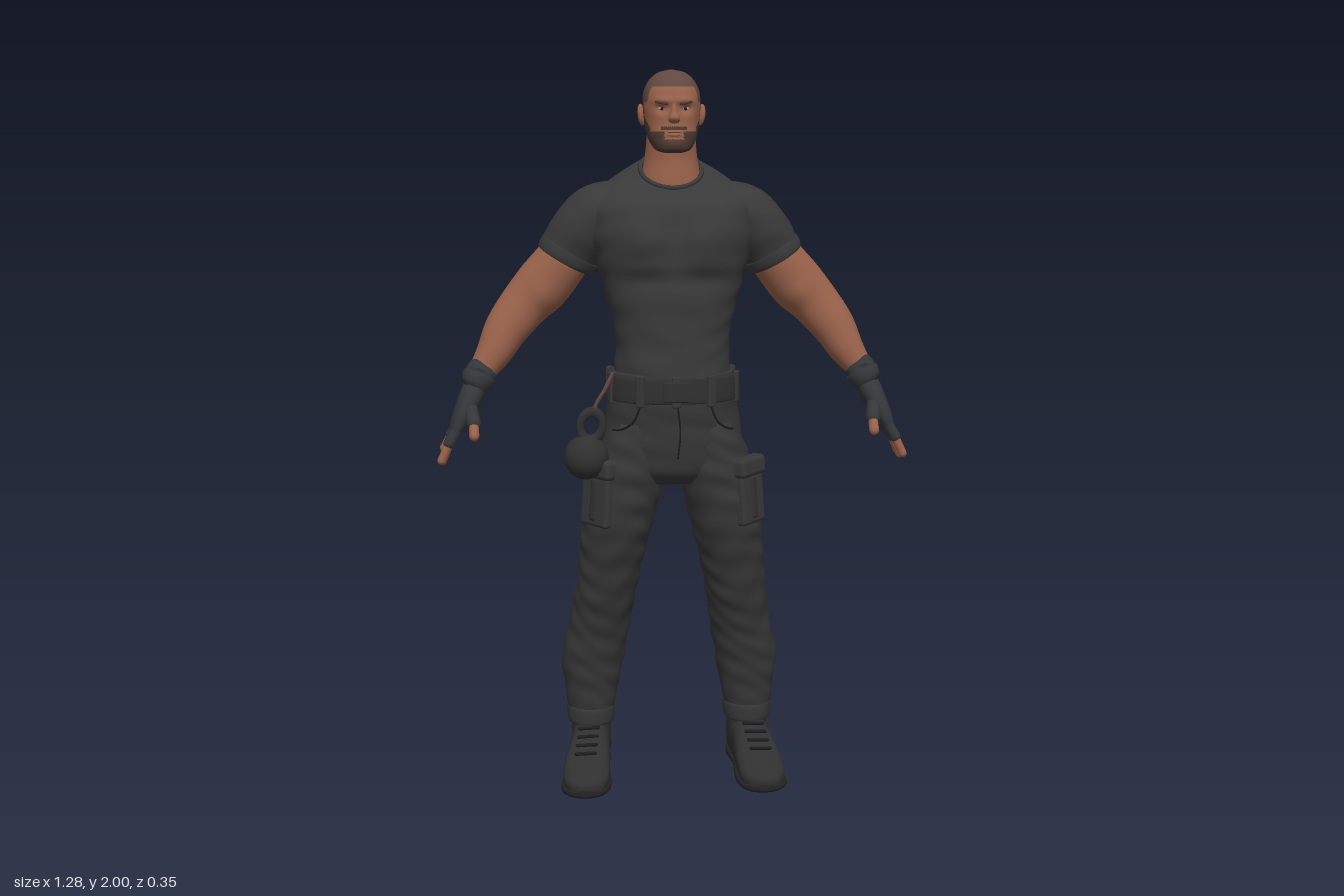
import * as THREE from 'three';
import { RoundedBoxGeometry } from 'three/addons/geometries/RoundedBoxGeometry.js';

const V = (x, y, z) => new THREE.Vector3(x, y, z);
const COLORS = { skin: 0x98614a, hair: 0x604840, beard: 0x4c3830, shirt: 0x393939, trousers: 0x373737,
  leather: 0x303030, sole: 0x242424, glove: 0x34373a, seam: 0x1d1d1d, eye: 0xb0a096 };
const M = {};
for (const [name, hex] of Object.entries(COLORS)) {
  M[name] = new THREE.MeshStandardMaterial({ color: hex });
  M[name].name = name;
}
const UP = V(0, 1, 0), DOWN = V(0, -1, 0), FRONT = V(0, 0, 1);
const bump = (d, w) => Math.exp(-(d * d) / (w * w));

// Skin over cross-sections [x, y, z, radiusU, radiusV, tilt]; axis fixes the ring direction
function loft(sections, { axis, v = FRONT, n = 2, rings = 40, segs = 40, ripple = 0, shape, paint } = {}) {
  const path = new THREE.CatmullRomCurve3(sections.map(s => V(s[0], s[1], s[2])), false, 'catmullrom', 0.5);
  const size = new THREE.CatmullRomCurve3(sections.map(s => V(s[3], s[4], s[5] || 0)), false, 'catmullrom', 0.5);
  const pos = [], index = [], pw = x => Math.sign(x) * Math.pow(Math.abs(x), 2 / n);
  for (let i = 0; i <= rings; i++) {
    const c = path.getPoint(i / rings), r = size.getPoint(i / rings);
    const t = axis || path.getTangent(i / rings);
    const w = v.clone().addScaledVector(t, -v.dot(t)).normalize();
    const u = t.clone().cross(w);
    for (let j = 0; j < segs; j++) {
      const a = j / segs * Math.PI * 2;
      const f = 1 + ripple * Math.sin(c.y * 75 + 2 * Math.sin(a * 2 + c.y * 9)) * Math.sin(a * 3 + c.y * 14);
      const b = r.y * f * pw(Math.sin(a));
      const p = c.clone().addScaledVector(u, r.x * f * pw(Math.cos(a))).addScaledVector(w, b);
      p.y -= r.z * b;
      if (shape) shape(p);
      pos.push(p.x, p.y, p.z);
    }
  }
  for (const s of [0, rings]) { const c = path.getPoint(s / rings); pos.push(c.x, c.y, c.z); }
  const end = (rings + 1) * segs;
  for (let j = 0; j < segs; j++) {
    const k = (j + 1) % segs, l = rings * segs;
    for (let i = 0; i < rings; i++) {
      const a = i * segs + j, d = i * segs + k;
      index.push(a, a + segs, d + segs, a, d + segs, d);
    }
    index.push(end, j, k, end + 1, l + k, l + j);
  }
  const g = new THREE.BufferGeometry();
  g.setAttribute('position', new THREE.Float32BufferAttribute(pos, 3));
  // Sort faces into colour groups
  if (paint) {
    const lists = [[], [], []];
    for (let i = 0; i < index.length; i += 3) {
      const c = [0, 1, 2].map(k => (pos[index[i] * 3 + k] + pos[index[i + 1] * 3 + k] + pos[index[i + 2] * 3 + k]) / 3);
      lists[paint(...c)].push(index[i], index[i + 1], index[i + 2]);
    }
    let start = 0;
    lists.forEach((l, m) => { g.addGroup(start, l.length, m); start += l.length; });
    g.setIndex(lists.flat());
  } else g.setIndex(index);
  g.computeVertexNormals();
  return g;
}

export function createModel() {
  const root = new THREE.Group();
  root.name = 'man';
  const add = (name, geo, mat, p = [0, 0, 0], rot = [0, 0, 0], scale = [1, 1, 1]) => {
    const m = new THREE.Mesh(geo, mat);
    m.name = name;
    m.position.set(...p); m.rotation.set(...rot); m.scale.set(...scale);
    root.add(m);
    return m;
  };
  const box = (name, mat, w, h, d, p, rot) => add(name, new RoundedBoxGeometry(w, h, d, 2, Math.min(w, h, d) * 0.3), mat, p, rot);
  const ball = (name, mat, p, scale, rot) => add(name, new THREE.SphereGeometry(1, 24, 16), mat, p, rot, scale);
  const limb = (name, mat, a, b, r) => {
    const A = V(...a), B = V(...b), d = B.clone().sub(A);
    const m = add(name, new THREE.CapsuleGeometry(r, d.length(), 5, 10), mat, A.clone().add(B).multiplyScalar(0.5).toArray());
    m.quaternion.setFromUnitVectors(UP, d.normalize());
  };
  const tube = (name, mat, pts, r, closed = false) =>
    add(name, new THREE.TubeGeometry(new THREE.CatmullRomCurve3(pts.map(p => V(...p)), closed), 48, r, 6, closed), mat);

  // Shirt with chest, stomach and spine modelling
  add('shirt', loft([
    [0, 1.14, .02, .160, .132], [0, 1.20, .02, .160, .135], [0, 1.27, .018, .155, .132], [0, 1.34, .012, .165, .136],
    [0, 1.42, .006, .185, .142], [0, 1.50, -.004, .208, .156], [0, 1.58, -.012, .225, .158], [0, 1.645, -.024, .225, .144],
    [0, 1.69, -.032, .188, .120, .1], [0, 1.72, -.03, .135, .102, .35], [0, 1.738, -.022, .084, .086, .55],
  ], { axis: UP, n: 2.3, rings: 70, segs: 72, ripple: .012, shape: p => {
    const side = Math.abs(p.x);
    if (p.z > 0) {
      p.z += .012 * bump(side - .085, .06) * bump(p.y - 1.56, .06);
      p.z -= .016 * bump(side, .03) * bump(p.y - 1.57, .08) + .012 * bump(p.y - 1.455, .025) * bump(side - .08, .1);
    } else {
      p.z += .022 * bump(side, .035) * bump(p.y - 1.47, .22);
      p.z -= .01 * bump(side - .1, .06) * bump(p.y - 1.6, .08);
    }
  } }), M.shirt);
  const ring = (rx, rz, y, z, tilt) => Array.from({ length: 20 }, (_, i) => {
    const a = i / 20 * Math.PI * 2;
    return [rx * Math.cos(a), y - tilt * rz * Math.sin(a), z + rz * Math.sin(a)];
  });
  tube('collar', M.shirt, ring(.083, .086, 1.738, -.022, .55), .007, true);

  // Neck and head; cropped hair and beard are painted face by face
  add('neck', loft([[0, 1.64, -.03, .10, .08], [0, 1.70, -.026, .085, .08], [0, 1.76, -.026, .073, .073],
    [0, 1.80, -.022, .068, .07], [0, 1.85, -.02, .065, .068]], { axis: UP }), M.skin);
  add('head', loft([
    [0, 1.782, .05, .02, .025], [0, 1.788, .043, .042, .046], [0, 1.80, .032, .054, .06], [0, 1.825, .013, .066, .078], [0, 1.86, -.005, .073, .090],
    [0, 1.90, -.008, .077, .093], [0, 1.94, -.010, .075, .089], [0, 1.972, -.012, .060, .071],
    [0, 1.992, -.012, .036, .043], [0, 2.0, -.012, .004, .005],
  ], { axis: UP, n: 2.25, rings: 90, segs: 96, shape: p => {
    const s = Math.abs(p.x);
    if (p.z > .02) {
      p.z -= .011 * bump(s - .031, .017) * bump(p.y - 1.897, .012);
      p.z += .006 * bump(s - .028, .028) * bump(p.y - 1.917, .010);
      p.z += .006 * bump(s, .025) * bump(p.y - 1.803, .014) - .004 * bump(s, .03) * bump(p.y - 1.82, .006);
    }
  }, paint: (x, y, z) => {
    const s = Math.abs(x);
    const hairline = z > .045 ? 1.955 : z > .02 ? 1.915 : z > -.03 ? 1.885 : 1.83;
    if (y > hairline) return 1;
    if (z > -.005 && (y < 1.818 || (s > .05 && z < .05 && y < 1.885 - z * .7) || (s > .026 && y < 1.838))) return 2;
    return z > .05 && s < .034 && y > 1.841 && y < 1.851 ? 2 : 0;
  } }), [M.skin, M.hair, M.beard]);
  add('nose', loft([[0, 1.912, .075, .007, .010], [0, 1.89, .083, .009, .012], [0, 1.873, .089, .015, .015],
    [0, 1.862, .083, .013, .012], [0, 1.858, .08, .004, .004]], { axis: DOWN, rings: 16, segs: 16 }), M.skin);
  ball('upperLip', M.skin, [0, 1.8375, .086], [.021, .004, .007]);
  ball('lowerLip', M.skin, [0, 1.829, .086], [.018, .005, .007]);

  // Belt, buckle, loops and hips
  const hips = [[0, 1.20, .018, .166, .136], [0, 1.13, .012, .176, .142], [0, 1.06, .0, .187, .146],
    [0, .99, -.003, .200, .143], [0, .93, -.003, .19, .13], [0, .89, -.003, .12, .10]];
  add('trouserHips', loft(hips, { axis: DOWN, n: 2.3, segs: 64, ripple: .01, shape: p => {
    if (p.z < 0) p.z += .022 * bump(p.x, .03) * bump(p.y - .98, .09);
  } }), M.trousers);
  add('belt', loft([[0, 1.125, .016, .172, .138], [0, 1.128, .016, .181, .147], [0, 1.187, .018, .177, .145], [0, 1.19, .018, .168, .138]],
    { axis: UP, n: 2.3, rings: 24, segs: 64 }), M.leather);
  box('buckle', M.leather, .07, .055, .014, [0, 1.157, .166]);
  for (let i = 0; i < 10; i++) {
    const a = (i + .5) / 10 * Math.PI * 2, c = Math.cos(a), s = Math.sin(a);
    const r = Math.pow(Math.pow(Math.abs(c) / .18, 2.3) + Math.pow(Math.abs(s) / .147, 2.3), -1 / 2.3);
    box('beltLoop', M.trousers, .024, .085, .014, [r * c, 1.157, .017 + r * s], [0, Math.atan2(c / .18, s / .147), 0]);
  }
  tube('fly', M.seam, [[.004, 1.12, .156], [.012, 1.04, .148], [.006, .97, .139]], .0025);

  for (const s of [1, -1]) {
    const X = list => list.map(([x, ...rest]) => [x * s, ...rest]);
    const P = (x, y, z) => [x * s, y, z];

    // Face details
    ball('ear', M.skin, P(.080, 1.882, -.012), [.010, .029, .018], [0, s * .35, -s * .12]);
    ball('eye', M.eye, P(.031, 1.897, .066), [.010, .005, .007]);
    ball('iris', M.seam, P(.031, 1.897, .0705), [.0045, .0045, .004]);
    box('eyebrow', M.beard, .036, .007, .008, P(.032, 1.912, .077), [0, s * .35, s * .18]);

    // Sleeve, hem and shoulder seams
    add('sleeve', loft(X([[.11, 1.655, -.045, .045, .09], [.16, 1.64, -.05, .070, .108], [.205, 1.61, -.055, .086, .116],
      [.25, 1.557, -.056, .087, .108], [.28, 1.51, -.053, .083, .092], [.287, 1.497, -.052, .081, .088]]),
      { n: 2.1, ripple: .012 }), M.shirt);
    add('sleeveHem', loft(X([[.273, 1.520, -.053, .082, .09], [.276, 1.515, -.053, .087, .095], [.288, 1.496, -.052, .085, .093],
      [.291, 1.491, -.052, .079, .086]]), { rings: 12 }), M.shirt);

    // Bare arm
    add('arm', loft(X([[.24, 1.57, -.055, .07, .075], [.30, 1.488, -.05, .073, .075], [.352, 1.425, -.046, .076, .068],
      [.40, 1.375, -.038, .068, .06], [.45, 1.312, -.02, .060, .058], [.485, 1.25, .002, .049, .05],
      [.515, 1.205, .02, .038, .038], [.535, 1.165, .03, .033, .033]]), { rings: 48, shape: p => {
      p.z += .008 * bump(Math.abs(p.x) - .35, .03) * bump(p.y - 1.40, .04) * (p.z > -.04 ? 1 : -.6);
    } }), M.skin);

    // Fingerless glove and fingers
    add('glove', loft(X([[.515, 1.207, .02, .034, .034], [.518, 1.202, .022, .042, .042], [.532, 1.175, .03, .041, .043],
      [.538, 1.162, .035, .033, .038], [.552, 1.128, .046, .032, .05], [.572, 1.085, .056, .028, .058],
      [.588, 1.05, .06, .022, .055], [.594, 1.035, .06, .012, .046]]), { n: 2.3 }), M.glove);
    add('wristStrap', loft(X([[.526, 1.187, .026, .038, .04], [.527, 1.185, .027, .046, .048], [.536, 1.168, .032, .043, .047],
      [.537, 1.166, .032, .034, .04]]), { rings: 10 }), M.glove);
    for (let f = 0; f < 4; f++) {
      const z = .018 + f * .027, tz = .008 + f * .034, drop = [.022, .004, 0, .008][f];
      const knuckle = P(.588, 1.05, z), mid = P(.608, 1.012 + drop * .5, (z + tz) / 2), tip = P(.629, .962 + drop, tz);
      limb('gloveFinger', M.glove, knuckle, mid, .0155);
      limb('fingertip', M.skin, mid, tip, .0118);
    }
    limb('gloveThumb', M.glove, P(.553, 1.115, .075), P(.540, 1.075, .125), .02);
    limb('thumbTip', M.skin, P(.540, 1.075, .125), P(.538, 1.045, .158), .0135);

    // Trouser leg with gathered ankle
    add('trouserLeg', loft(X([[.09, 1.06, 0, .085, .13], [.112, .95, -.003, .105, .136], [.135, .85, 0, .103, .126],
      [.155, .75, -.004, .098, .116], [.172, .65, -.022, .091, .106], [.187, .55, -.042, .087, .099], [.203, .45, -.068, .087, .092],
      [.222, .35, -.085, .090, .086], [.227, .26, -.094, .079, .078], [.230, .19, -.097, .068, .071], [.230, .145, -.096, .064, .069]]),
      { axis: DOWN, n: 2.2, rings: 80, segs: 48, ripple: .032 }), M.trousers);
    add('trouserCuff', loft(X([[.230, .195, -.096, .060, .064], [.230, .190, -.096, .070, .075], [.230, .148, -.095, .068, .073],
      [.230, .142, -.095, .058, .062]]), { axis: DOWN, rings: 14 }), M.trousers);

    // Cargo pocket on the outer thigh
    const turn = [-.12, s * .85, s * .1];
    box('cargoPocket', M.trousers, .105, .165, .036, P(.208, .855, .078), turn);
    box('cargoFlap', M.trousers, .115, .055, .048, P(.205, .936, .086), turn);
    box('cargoPleat', M.leather, .028, .12, .042, P(.2095, .848, .080), turn);

    // Back pocket with flap and front pocket seam
    box('backPocket', M.trousers, .10, .12, .022, P(.098, 1.025, -.139), [0, s * -.3, 0]);
    box('backFlap', M.trousers, .106, .036, .03, P(.098, 1.083, -.140), [0, s * -.3, 0]);
    tube('pocketSeam', M.seam, [P(.095, 1.115, .139), P(.115, 1.07, .130), P(.15, 1.045, .102), P(.18, 1.04, .05)], .003);

    // Boot: sole, heel, upper, ankle and laces
    const along = { axis: FRONT, v: UP, n: 2.7, rings: 36, segs: 32 };
    const slab = (z, x, w, lo, hi) => [x, (lo + hi) / 2, z, w, (hi - lo) / 2];
    add('sole', loft(X([slab(-.174, .226, .022, .004, .03), slab(-.165, .226, .046, 0, .034), slab(-.11, .228, .056, 0, .034),
      slab(-.03, .236, .054, .004, .034), slab(.06, .248, .070, 0, .032), slab(.12, .252, .068, 0, .032),
      slab(.16, .252, .045, .006, .034), slab(.173, .252, .016, .014, .034)]), along), M.sole);
    add('bootUpper', loft(X([slab(-.168, .226, .024, .015, .09), slab(-.155, .226, .045, .012, .125), slab(-.10, .228, .056, .012, .15),
      slab(-.03, .235, .057, .012, .148), slab(.03, .243, .063, .012, .122), slab(.08, .249, .066, .012, .088),
      slab(.125, .251, .062, .012, .07), slab(.158, .251, .042, .014, .058), slab(.170, .251, .014, .02, .045)]), along), M.leather);
    add('bootAnkle', loft(X([[.228, .06, -.09, .056, .07], [.229, .12, -.092, .057, .07], [.230, .165, -.095, .059, .067]]),
      { axis: UP, rings: 10 }), M.leather);
    for (let i = 0; i < 4; i++) {
      const z = -.012 + i * .027, y = .150 - i * .0145;
      limb('lace', M.seam, P(.212 + i * .004, y - .005, z), P(.266 + i * .004, y - .005, z + .004), .005);
    }
  }

  // Kettlebell hanging from the belt
  ball('kettlebell', M.leather, [-.24, .969, .09], [.061, .061, .061]);
  add('kettlebellHandle', new THREE.TorusGeometry(.030, .0115, 12, 32), M.leather, [-.226, 1.055, .09], [0, 0, -.15], [1, 1.3, 1]);
  tube('strap', M.hair, [[-.165, 1.20, .08], [-.188, 1.155, .09], [-.212, 1.115, .092], [-.222, 1.085, .09]], .006);
  return root;
}
